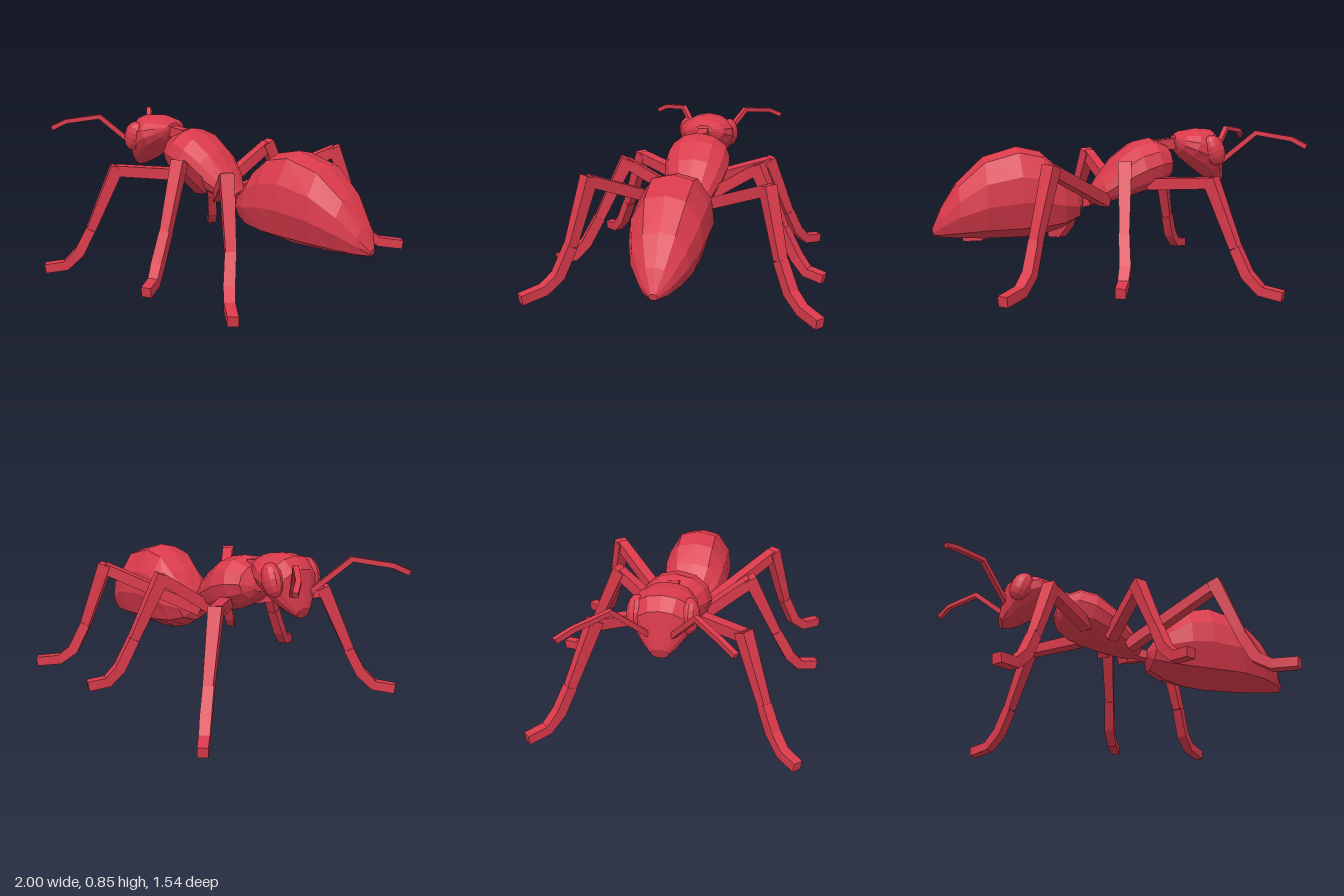
import * as THREE from 'three';

const material = new THREE.MeshStandardMaterial({ color: 0xd93a4b, flatShading: true });

// Skin a list of rings (arrays of Vector3), cap both ends, faces outward.
function skin(rings) {
  const tris = [];
  const n = rings[0].length;
  for (let i = 0; i < rings.length - 1; i++) {
    for (let j = 0; j < n; j++) {
      const k = (j + 1) % n;
      const a = rings[i][j], b = rings[i][k], c = rings[i + 1][k], d = rings[i + 1][j];
      tris.push([a, b, c], [a, c, d]);
    }
  }
  const cap = (ring, flip) => {
    const mid = ring.reduce((s, p) => s.add(p), new THREE.Vector3()).divideScalar(n);
    for (let j = 0; j < n; j++) {
      const a = ring[j], b = ring[(j + 1) % n];
      tris.push(flip ? [mid, b, a] : [mid, a, b]);
    }
  };
  cap(rings[0], true);
  cap(rings[rings.length - 1], false);
  // The signed volume tells whether the winding must be reversed.
  const origin = rings[0][0];
  let volume = 0;
  for (const t of tris) {
    const [a, b, c] = t.map((p) => p.clone().sub(origin));
    volume += a.dot(b.cross(c));
  }
  if (volume < 0) tris.forEach((t) => t.reverse());
  const geometry = new THREE.BufferGeometry().setFromPoints(tris.flat());
  geometry.computeVertexNormals();
  return geometry;
}

// Body loft: each section is [topX, topY, bottomX, bottomY, halfWidth].
function loft(sections, profile) {
  return skin(sections.map(([tx, ty, bx, by, w]) => profile.map(([u, v]) => new THREE.Vector3(
    (tx + bx) / 2 + (v * (tx - bx)) / 2,
    (ty + by) / 2 + (v * (ty - by)) / 2,
    u * w,
  ))));
}

// Square limb swept along points, one half thickness per point.
function limb(points, sizes) {
  const pts = points.map((p) => new THREE.Vector3(...p));
  const span = pts[pts.length - 1].clone().sub(pts[0]);
  const side = new THREE.Vector3(span.z, 0, -span.x).normalize();
  return skin(pts.map((p, i) => {
    const next = pts[Math.min(i + 1, pts.length - 1)], prev = pts[Math.max(i - 1, 0)];
    const up = next.clone().sub(prev).normalize().cross(side).normalize();
    return [[1, 1], [1, -1], [-1, -1], [-1, 1]].map(([a, b]) =>
      p.clone().addScaledVector(side, a * sizes[i]).addScaledVector(up, b * sizes[i]));
  }));
}

function circle(n) {
  return Array.from({ length: n }, (_, i) => {
    const a = (i / n) * Math.PI * 2;
    return [Math.sin(a), Math.cos(a)];
  });
}

export function createModel() {
  const model = new THREE.Group();
  const add = (name, geometry, parent = model) => {
    const mesh = new THREE.Mesh(geometry, material);
    mesh.name = name;
    parent.add(mesh);
    return mesh;
  };

  // Abdomen, with a keeled underside
  const half = [[0.55, 0.9], [0.93, 0.42], [1, -0.12], [0.76, -0.7]];
  const keeled = [[0, 1], ...half, [0, -1], ...half.map(([u, v]) => [-u, v]).reverse()];
  add('abdomen', loft([
    [0.18, 0.49, 0.18, 0.43, 0.05],
    [0.23, 0.56, 0.20, 0.37, 0.12],
    [0.31, 0.66, 0.29, 0.32, 0.17],
    [0.41, 0.75, 0.40, 0.29, 0.187],
    [0.54, 0.78, 0.52, 0.28, 0.19],
    [0.72, 0.73, 0.72, 0.285, 0.183],
    [0.86, 0.60, 0.86, 0.295, 0.14],
    [0.95, 0.46, 0.95, 0.305, 0.08],
    [0.998, 0.35, 0.99, 0.315, 0.022],
  ], keeled));

  // Thorax
  add('thorax', loft([
    [-0.35, 0.70, -0.355, 0.63, 0.06],
    [-0.31, 0.77, -0.33, 0.585, 0.13],
    [-0.22, 0.81, -0.27, 0.54, 0.175],
    [-0.12, 0.79, -0.18, 0.505, 0.185],
    [-0.01, 0.71, -0.07, 0.475, 0.165],
    [0.08, 0.60, 0.04, 0.45, 0.12],
    [0.15, 0.50, 0.13, 0.44, 0.045],
  ], circle(12)));

  // Head, tapering down to the jaw
  add('head', loft([
    [-0.37, 0.82, -0.362, 0.775, 0.05],
    [-0.415, 0.845, -0.385, 0.72, 0.12],
    [-0.50, 0.857, -0.43, 0.67, 0.16],
    [-0.59, 0.85, -0.50, 0.615, 0.165],
    [-0.645, 0.79, -0.555, 0.575, 0.14],
    [-0.658, 0.69, -0.61, 0.55, 0.09],
    [-0.67, 0.60, -0.645, 0.54, 0.045],
  ], circle(14)));

  // Neck and waist links
  add('neck', limb([[-0.40, 0.775, 0], [-0.27, 0.765, 0]], [0.03, 0.03]));
  add('waist', limb([[0.06, 0.48, 0], [0.22, 0.45, 0]], [0.025, 0.025]));

  // Joint positions on the +z side: hip, knee, ankle, then the curved foot
  const legs = {
    frontLeg: [[-0.19, 0.56, 0.10], [-0.44, 0.595, 0.39], [-0.53, 0.26, 0.51],
      [-0.575, 0.125, 0.565], [-0.63, 0.05, 0.62], [-0.715, 0.033, 0.70]],
    middleLeg: [[-0.05, 0.50, 0.10], [0.04, 0.69, 0.37], [0.09, 0.37, 0.52],
      [0.11, 0.22, 0.60], [0.14, 0.15, 0.66], [0.185, 0.135, 0.755]],
    hindLeg: [[0.06, 0.47, 0.08], [0.45, 0.70, 0.46], [0.545, 0.37, 0.54],
      [0.59, 0.22, 0.60], [0.645, 0.16, 0.66], [0.745, 0.143, 0.75]],
  };

  for (const s of [1, -1]) {
    const label = s > 0 ? 'Front' : 'Back';
    const flip = (list) => list.map(([x, y, z]) => [x, y, z * s]);

    for (const [name, joints] of Object.entries(legs)) {
      const leg = new THREE.Group();
      leg.name = name + label;
      const p = flip(joints);
      add('thigh', limb(p.slice(0, 2), [0.032, 0.03]), leg);
      // The shin starts slightly above the knee
      const top = p[1].map((v, i) => v + (v - p[2][i]) * 0.06);
      add('shin', limb([top, p[2]], [0.035, 0.026]), leg);
      add('foot', limb(p.slice(2), [0.028, 0.029, 0.027, 0.026]), leg);
      model.add(leg);
    }

    // Eye
    const eye = add('eye' + label, new THREE.SphereGeometry(1, 12, 8));
    eye.scale.set(0.062, 0.09, 0.05);
    eye.position.set(-0.565, 0.74, s * 0.132);
    eye.rotation.z = -0.35;

    // Antenna
    add('antenna' + label, limb(flip([
      [-0.635, 0.66, 0.06], [-0.79, 0.838, 0.20], [-0.94, 0.81, 0.335], [-0.99, 0.772, 0.405],
    ]), [0.014, 0.014, 0.013, 0.013]));
  }
  return model;
}
